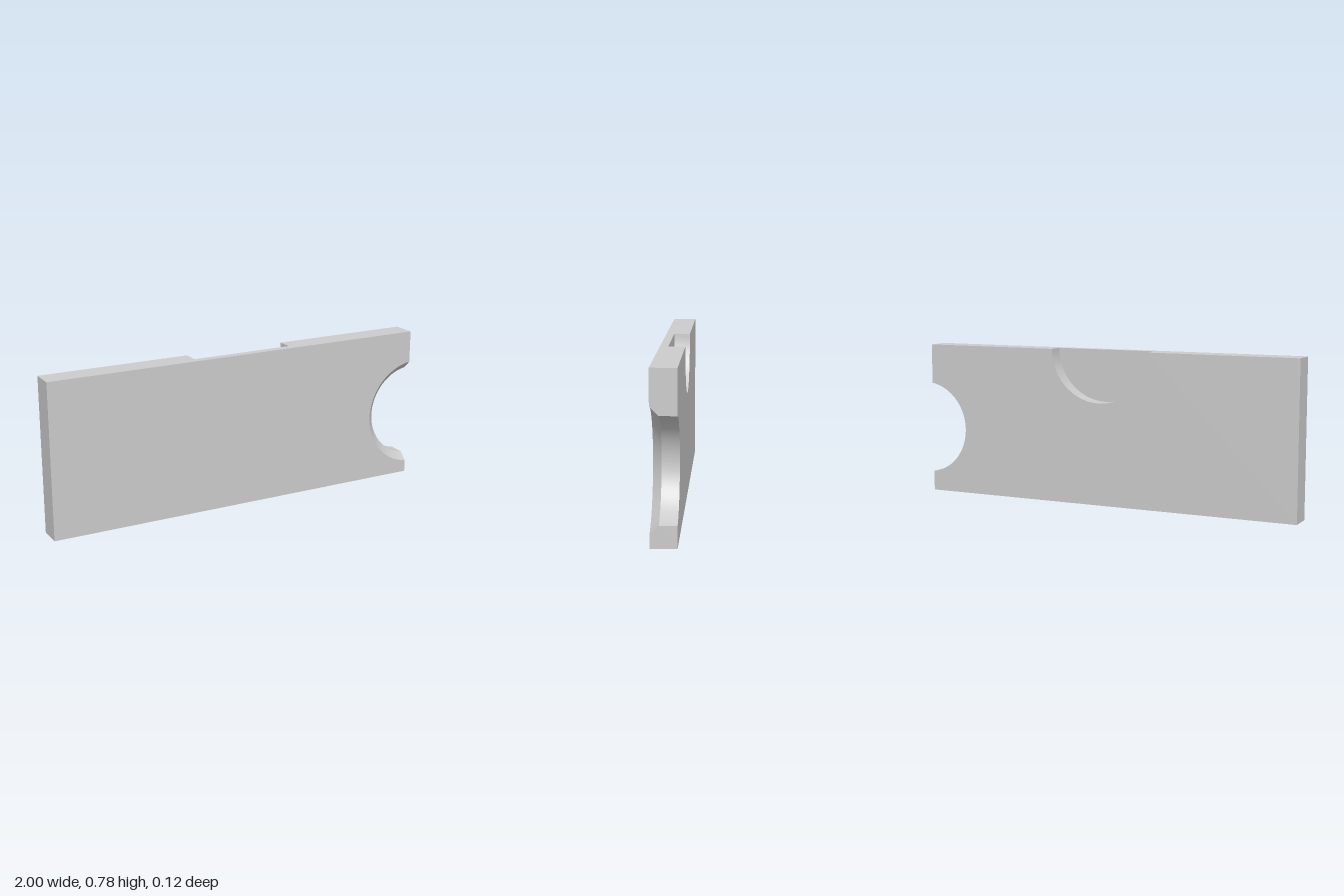
import * as THREE from 'three';
import { mergeGeometries, toCreasedNormals } from 'three/addons/utils/BufferGeometryUtils.js';

const H = 0.776, FRONT = 0.06, STEP = 0.02, BACK = -0.06;
const NOTCH = { x: 1.038, y: 0.337, inner: 0.239, outer: 0.278 };
const POCKET = { x: 0.0225, y: H, r: 0.262 };

function arc(x, y, r, from, to, n = 48) {
  return Array.from({ length: n + 1 }, (_, i) => {
    const a = from + (to - from) * i / n;
    return new THREE.Vector2(x + r * Math.cos(a), y + r * Math.sin(a));
  });
}

const pocketArc = () => arc(POCKET.x, POCKET.y, POCKET.r, 0, -Math.PI);

// Plate outline, counter-clockwise seen from the front
function outline(notchRadius, withPocket) {
  const a = Math.acos((1 - NOTCH.x) / notchRadius);
  return [
    new THREE.Vector2(-1, 0), new THREE.Vector2(1, 0),
    ...arc(NOTCH.x, NOTCH.y, notchRadius, 2 * Math.PI - a, a),
    new THREE.Vector2(1, H),
    ...(withPocket ? pocketArc() : []),
    new THREE.Vector2(-1, H),
  ];
}

// Side walls between two outlines of equal point count
function walls(front, zFront, back, zBack) {
  const pos = [];
  front.forEach((p, i) => {
    const j = (i + 1) % front.length, q = front[j], s = back[i], t = back[j];
    pos.push(s.x, s.y, zBack, t.x, t.y, zBack, q.x, q.y, zFront);
    pos.push(s.x, s.y, zBack, q.x, q.y, zFront, p.x, p.y, zFront);
  });
  return new THREE.BufferGeometry().setAttribute('position', new THREE.Float32BufferAttribute(pos, 3));
}

// Flat face facing +z, or -z when flipped
function face(points, z, flip) {
  const g = new THREE.ShapeGeometry(new THREE.Shape(points)).toNonIndexed();
  g.deleteAttribute('uv');
  g.deleteAttribute('normal');
  const p = g.attributes.position;
  for (let i = 0; i < p.count; i++) p.setZ(i, z);
  if (flip) {
    for (let i = 0; i < p.count; i += 3) {
      const x = p.getX(i), y = p.getY(i);
      p.setXY(i, p.getX(i + 1), p.getY(i + 1));
      p.setXY(i + 1, x, y);
    }
  }
  return g;
}

export function createModel() {
  const group = new THREE.Group();
  const material = new THREE.MeshStandardMaterial({ color: 0xcccccc });
  const add = (name, ...parts) => {
    const mesh = new THREE.Mesh(toCreasedNormals(mergeGeometries(parts), 0.5), material);
    mesh.name = name;
    group.add(mesh);
  };

  const wide = outline(NOTCH.outer, false);
  const narrow = outline(NOTCH.inner, false);
  const pocketed = outline(NOTCH.inner, true);

  // Front layer with the chamfered side notch
  add('frontPlate', face(wide, FRONT, false), walls(wide, FRONT, narrow, STEP));
  // Back layer with the straight notch and the half-round pocket
  add('backPlate', face(pocketed, BACK, true), walls(pocketed, STEP, pocketed, BACK));
  // Floor of the pocket
  add('pocketFloor', face(pocketArc(), STEP, true));
  return group;
}
